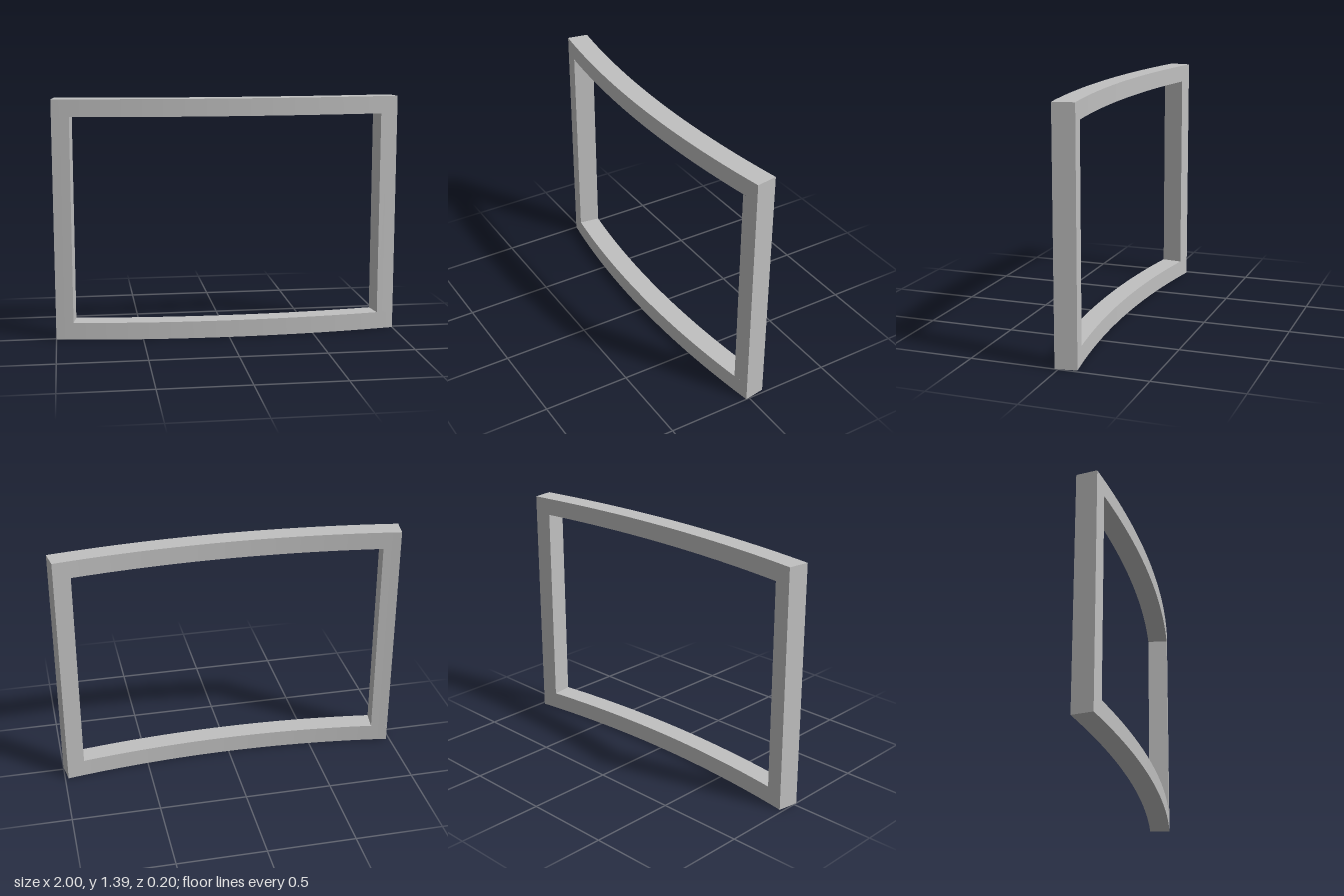
import * as THREE from 'three';

const RADIUS = 6.3;      // front face radius of the curve
const DEPTH = 0.122;     // frame thickness, measured radially
const HEIGHT = 1.39;
const BORDER = 0.1;      // width of the frame's face
const FRONT = 0.1;       // z of the foremost line

// Box running from arc position x0 to x1 and y0 to y1, bent around a vertical axis.
function bentBar(x0, x1, y0, y1, segments, openEnds) {
  const a0 = Math.asin(x0 / RADIUS), a1 = Math.asin(x1 / RADIUS);
  const geo = new THREE.BoxGeometry(a1 - a0, y1 - y0, DEPTH, segments, 1, 1);
  geo.translate((a0 + a1) / 2, (y0 + y1) / 2, -DEPTH / 2);
  const p = geo.attributes.position, n = geo.attributes.normal;
  const up = new THREE.Vector3(0, 1, 0), v = new THREE.Vector3();
  for (let i = 0; i < p.count; i++) {
    const a = p.getX(i), r = RADIUS + p.getZ(i);
    p.setXYZ(i, r * Math.sin(a), p.getY(i), r * Math.cos(a) - RADIUS + FRONT);
    v.fromBufferAttribute(n, i).applyAxisAngle(up, a);
    n.setXYZ(i, v.x, v.y, v.z);
  }
  // Drop the top and bottom faces where a bar meets the rails
  if (openEnds) {
    const index = Array.from(geo.index.array);
    const [, , top, bottom] = geo.groups;
    index.splice(top.start, top.count + bottom.count);
    geo.setIndex(index);
  }
  geo.clearGroups();
  return geo;
}

export function createModel() {
  const model = new THREE.Group();
  model.name = 'curvedFrame';
  const grey = new THREE.MeshStandardMaterial({ color: 0xc0c0c0 });
  grey.name = 'light grey';

  const add = (name, geometry) => {
    const mesh = new THREE.Mesh(geometry, grey);
    mesh.name = name;
    model.add(mesh);
  };

  // Full-width curved rails
  add('bottomRail', bentBar(-1, 1, 0, BORDER, 32, false));
  add('topRail', bentBar(-1, 1, HEIGHT - BORDER, HEIGHT, 32, false));

  // Upright sides between the rails
  add('leftUpright', bentBar(1 - BORDER, 1, BORDER, HEIGHT - BORDER, 2, true));
  add('rightUpright', bentBar(-1, -1 + BORDER, BORDER, HEIGHT - BORDER, 2, true));

  return model;
}
